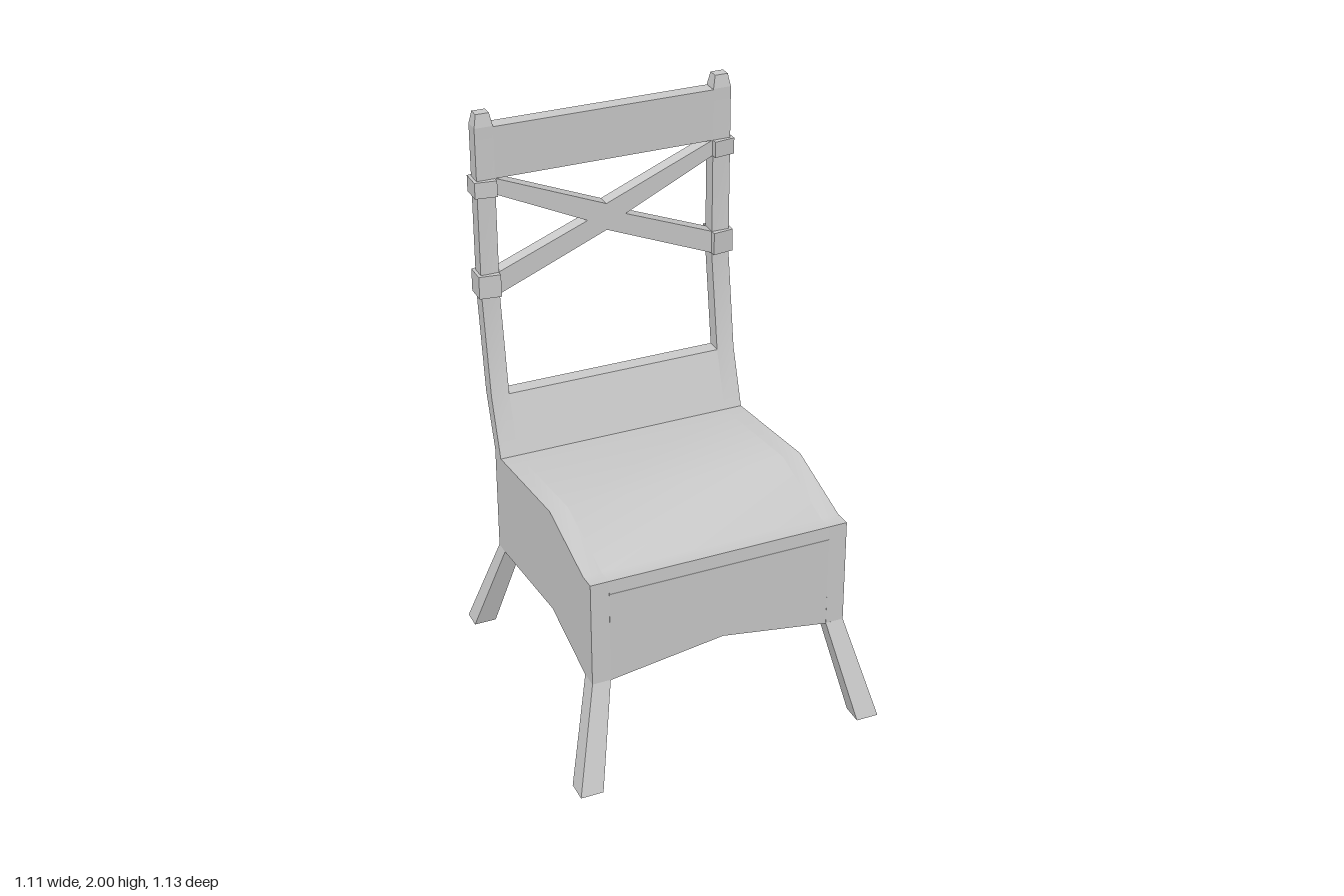
import * as THREE from 'three';
import { toCreasedNormals } from 'three/addons/utils/BufferGeometryUtils.js';

const material = new THREE.MeshStandardMaterial({ color: 0xcccccc });

function part(group, name, geometry) {
  const mesh = new THREE.Mesh(toCreasedNormals(geometry, 0.5), material);
  mesh.name = name;
  group.add(mesh);
}

const extrude = (points, depth) => new THREE.ExtrudeGeometry(
  new THREE.Shape(points.map(([a, b]) => new THREE.Vector2(a, b))),
  { depth, bevelEnabled: false });

// Outline in (z, y), spanning x0..x1
const acrossX = (points, x0, x1) => extrude(points, x1 - x0).rotateY(-Math.PI / 2).translate(x1, 0, 0);
// Outline in (x, y), spanning z0..z1
const acrossZ = (points, z0, z1) => extrude(points, z1 - z0).translate(0, 0, z0);

// Box joining two rectangles given as { x, y, z, w, d }
function taperedBar(low, high) {
  const g = new THREE.BoxGeometry(1, 1, 1);
  const p = g.attributes.position;
  for (let i = 0; i < p.count; i++) {
    const r = p.getY(i) > 0 ? high : low;
    p.setXYZ(i, r.x + p.getX(i) * r.w, r.y, r.z + p.getZ(i) * r.d);
  }
  g.computeVertexNormals();
  return g;
}

export function createModel() {
  const chair = new THREE.Group();
  chair.name = 'chair';
  const inner = 0.397, outer = 0.462;
  const ceiling = 0.7; // underside of the seat inside the hollow base

  // Shared side curves, in (z, y)
  const seatTop = [[0.45, 0.75], [0.39, 0.747], [0.1, 0.828], [-0.37, 0.77]];
  const panelFront = [-0.44, 0.98], panelBack = [[-0.495, 0.98], [-0.425, 0.78]];

  // Seat with the lower back panel rising from it
  part(chair, 'seatAndLowerBack', acrossX(
    [[0.451, ceiling], ...seatTop, panelFront, ...panelBack, [-0.425, ceiling]], -inner, inner));

  // Arched front and back aprons
  const apron = (edge, peak) => [[-inner, ceiling], [-inner, edge], [0.01, peak], [inner, edge], [inner, ceiling]];
  part(chair, 'frontApron', acrossZ(apron(0.36, 0.42), 0.39, 0.452));
  part(chair, 'backApron', acrossZ(apron(0.383, 0.44), -0.425, -0.365));

  // Side panel and back post in one bent outline
  const sideOutline = [
    [0.453, 0.36], ...seatTop, panelFront, [-0.495, 1.34], [-0.495, 1.955],
    [-0.549, 1.955], [-0.549, 1.34], ...panelBack,
    [-0.425, 0.38], [-0.37, 0.385], [0.1, 0.44], [0.39, 0.36]];

  for (const s of [1, -1]) {
    const side = s > 0 ? 'left' : 'right';
    const x = s * (inner + outer) / 2, w = outer - inner;
    part(chair, side + 'SidePanelAndPost', acrossX(sideOutline, x - w / 2, x + w / 2));
    part(chair, side + 'PostTip', taperedBar(
      { x, y: 1.955, z: -0.522, w, d: 0.054 },
      { x, y: 2, z: -0.522, w: 0.047, d: 0.038 }));

    // Splayed legs
    part(chair, side + 'FrontLeg', taperedBar(
      { x: s * 0.515, y: 0, z: 0.528, w: 0.08, d: 0.075 },
      { x, y: 0.362, z: 0.4215, w, d: 0.063 }));
    part(chair, side + 'BackLeg', taperedBar(
      { x: s * 0.515, y: 0.03, z: -0.504, w: 0.08, d: 0.07 },
      { x, y: 0.384, z: -0.397, w, d: 0.056 }));

    // Collars where the cross bars meet the post
    for (const [name, y0, y1] of [['UpperCollar', 1.71, 1.768], ['LowerCollar', 1.34, 1.423]]) {
      const ring = [[0.397, 0.475], [0.473, 0.485], [0.473, 0.56], [0.397, 0.569]];
      part(chair, side + name, extrude(ring.map(([a, b]) => [s * a, b]), y1 - y0)
        .rotateX(-Math.PI / 2).translate(0, y0, 0));
    }
  }

  // Top rail
  part(chair, 'topRail', acrossZ(
    [[-inner, 1.768], [inner, 1.768], [inner, 1.952], [-inner, 1.952]], -0.549, -0.495));

  // Crossed bars
  const rightHalf = [[0, 1.603], [inner, 1.768], [inner, 1.71], [0.07, 1.553], [inner, 1.423], [inner, 1.34], [0, 1.505]];
  const leftHalf = rightHalf.slice(1, -1).reverse().map(([x, y]) => [-x, y]);
  part(chair, 'crossBars', acrossZ([...rightHalf, ...leftHalf], -0.547, -0.497));

  return chair;
}
